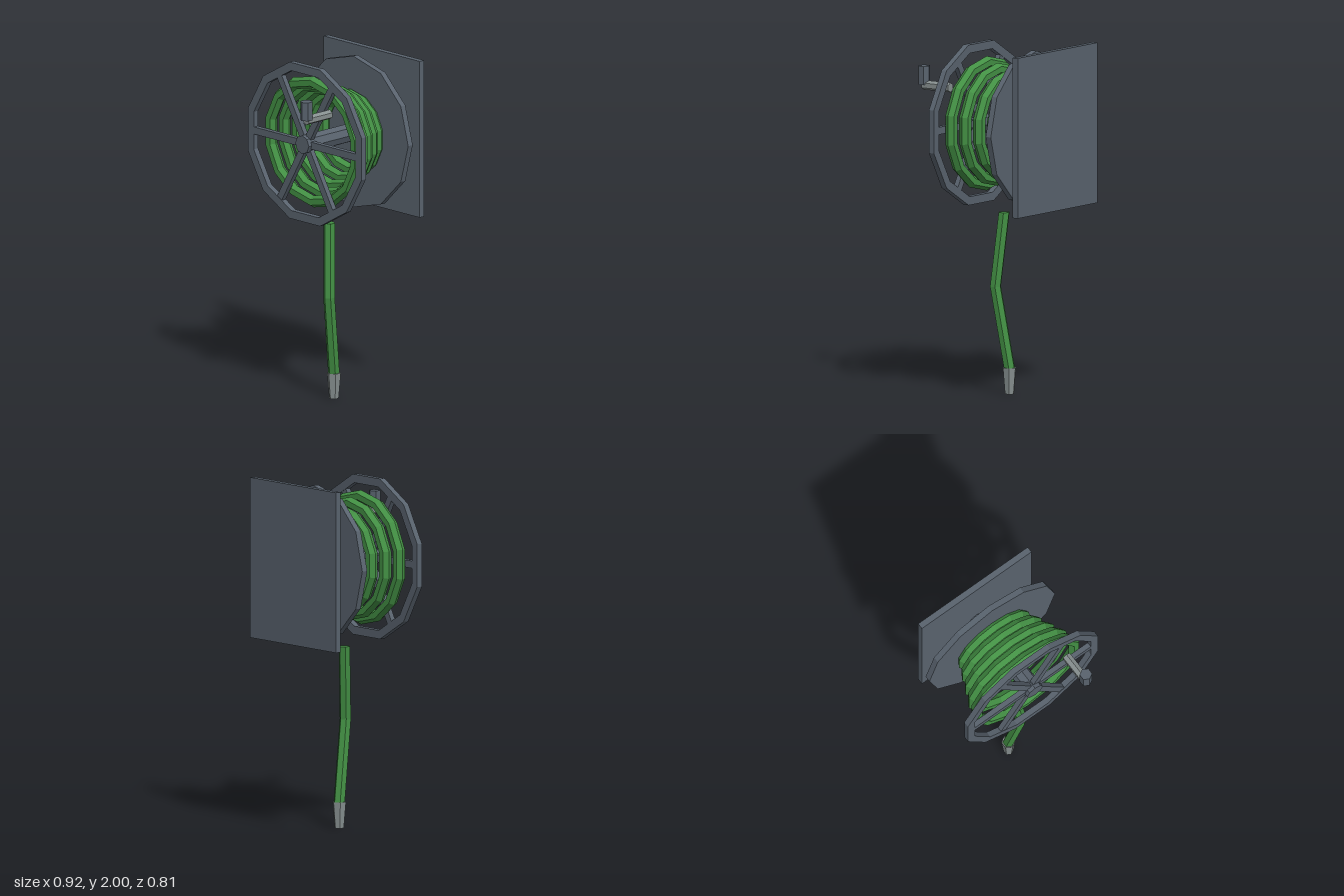
import * as THREE from 'three';

const CY = 1.54; // height of the reel axis

export function createModel() {
  const model = new THREE.Group();
  const reelMetal = new THREE.MeshStandardMaterial({ color: 0x59636e });
  const lightMetal = new THREE.MeshStandardMaterial({ color: 0x879090 });
  const hoseGreen = new THREE.MeshStandardMaterial({ color: 0x439044 });
  reelMetal.name = 'reelMetal';
  lightMetal.name = 'lightMetal';
  hoseGreen.name = 'hoseGreen';

  // Adds a mesh with faceted normals
  const add = (name, geometry, material, x = 0, y = 0, z = 0) => {
    const flat = geometry.index ? geometry.toNonIndexed() : geometry;
    flat.computeVertexNormals();
    const mesh = new THREE.Mesh(flat, material);
    mesh.name = name;
    mesh.position.set(x, y, z);
    model.add(mesh);
    return mesh;
  };
  // Prism lying along z, first corner pointing up
  const prismZ = (r, length, sides) =>
    new THREE.CylinderGeometry(r, r, length, sides).rotateX(Math.PI / 2);
  // Corners of a 12-sided ring with flat sides facing the axes
  const polygon = (apothem) => {
    const r = apothem / Math.cos(Math.PI / 12);
    return Array.from({ length: 12 }, (_, i) => {
      const a = ((i + 0.5) * Math.PI) / 6;
      return new THREE.Vector2(r * Math.cos(a), r * Math.sin(a));
    });
  };

  // Wall plate, axle and rear disc
  add('wallPlate', new THREE.BoxGeometry(0.776, 0.92, 0.036), reelMetal, 0, CY, -0.39);
  add('axle', prismZ(0.055, 0.557, 8), reelMetal, 0, CY, -0.0945);
  add('rearDisc', prismZ(0.445, 0.036, 12), reelMetal, 0, CY, -0.242);

  // Front rim with spokes
  const rim = new THREE.Shape(polygon(0.46));
  rim.holes.push(new THREE.Path(polygon(0.412)));
  add('frontRim', new THREE.ExtrudeGeometry(rim, { depth: 0.035, bevelEnabled: false }),
    reelMetal, 0, CY, 0.128);
  for (let i = 0; i < 3; i++) {
    const length = i === 0 ? 0.84 : 0.85;
    add('spokePair', new THREE.BoxGeometry(length, 0.042, 0.031), reelMetal, 0, CY, 0.1455)
      .rotation.z = (i * Math.PI) / 3;
  }

  // Hose coils, shrinking toward the back
  for (let i = 0; i < 5; i++) {
    add('hoseCoil', new THREE.TorusGeometry(0.351 - 0.033 * i, 0.035, 6, 14).rotateZ(Math.PI / 2),
      hoseGreen, 0, CY, 0.09 - 0.074 * i);
  }

  // Crank: shaft and upright grip
  add('crankShaft', prismZ(0.0275, 0.187, 6), lightMetal, 0.222, 1.763, 0.2765);
  add('crankGrip', new THREE.CylinderGeometry(0.036, 0.036, 0.108, 6), reelMetal, 0.222, 1.82, 0.369);

  // Hanging hose: a prism whose three level cross-sections are moved to the bend points
  const hose = new THREE.CylinderGeometry(0.034, 0.034, 2, 6, 2);
  const bends = [[0, 0.145, -0.07], [0.035, 0.615, 0.003], [0, 1.04, -0.032]];
  const p = hose.attributes.position;
  for (let i = 0; i < p.count; i++) {
    const [x, y, z] = bends[Math.round(p.getY(i)) + 1];
    p.setXYZ(i, p.getX(i) + x, y, p.getZ(i) + z);
  }
  add('hangingHose', hose, hoseGreen);
  add('nozzle', new THREE.CylinderGeometry(0.041, 0.028, 0.15, 6), lightMetal, 0, 0.075, -0.07);

  return model;
}
